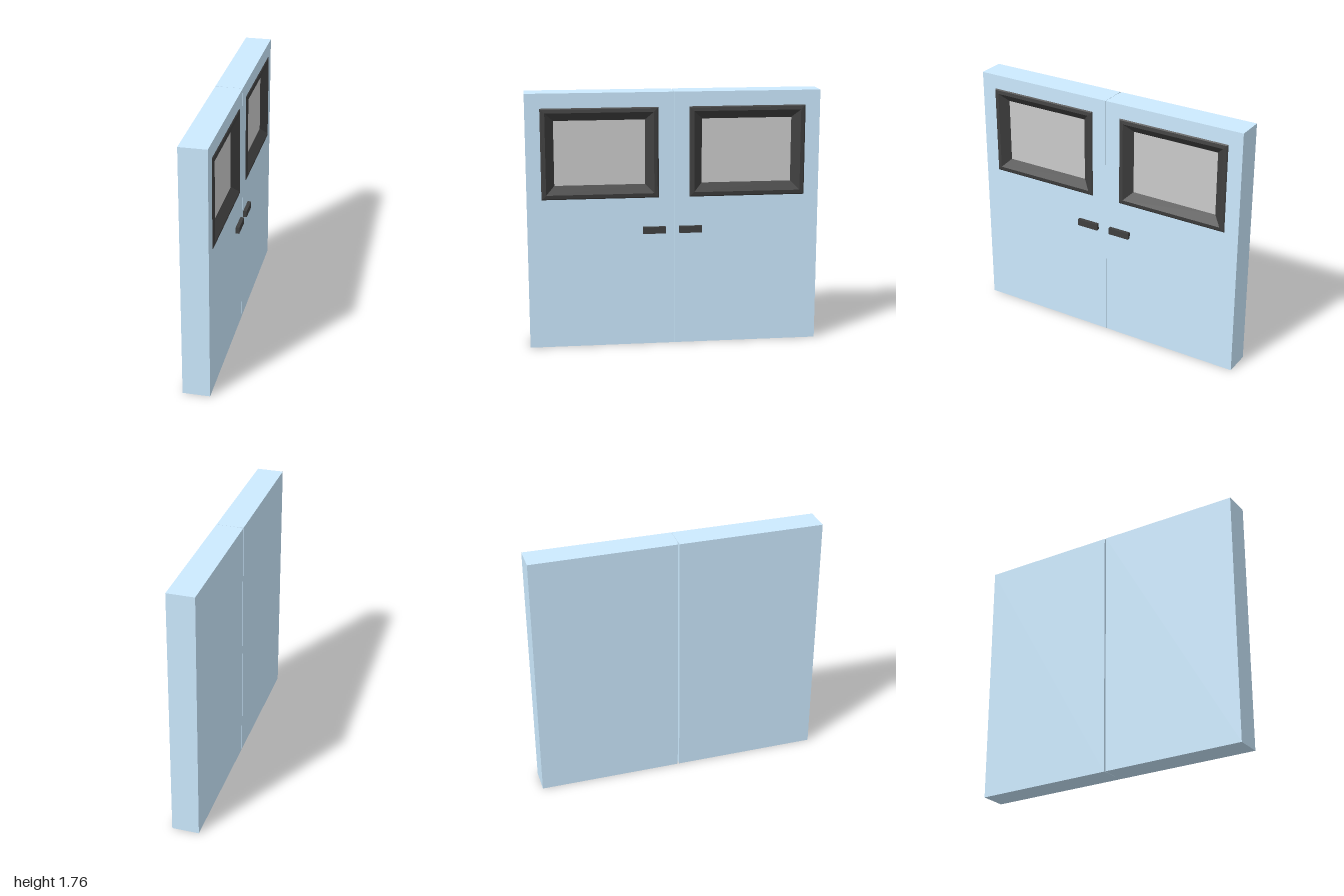
import * as THREE from 'three';

const BACK = -0.105, CORE = 0.035, FACE = 0.08, HEIGHT = 1.76;
const WINDOW = { y: 1.35, w: 0.795, h: 0.62 };

const blue = new THREE.MeshStandardMaterial({ color: 0xcceaff });
const dark = new THREE.MeshStandardMaterial({ color: 0x404040 });
const grey = new THREE.MeshStandardMaterial({ color: 0xcccccc });

function add(parent, name, geometry, material, x = 0, y = 0, z = 0) {
  const mesh = new THREE.Mesh(geometry, material);
  mesh.name = name;
  mesh.position.set(x, y, z);
  parent.add(mesh);
  return mesh;
}

const polygon = pts => new THREE.Shape(pts.map(p => new THREE.Vector2(...p)));
const rect = (x0, y0, x1, y1) => polygon([[x0, y0], [x1, y0], [x1, y1], [x0, y1]]);

// Mitred frame: nested rectangles given as [inset, depth] steps
function frameGeometry(w, h, steps) {
  const corners = ([inset, depth]) => [[-1, -1], [1, -1], [1, 1], [-1, 1]]
    .map(([sx, sy]) => [sx * (w / 2 - inset), sy * (h / 2 - inset), depth]);
  const pos = [];
  for (let s = 0; s < steps.length - 1; s++) {
    const outer = corners(steps[s]), inner = corners(steps[s + 1]);
    for (let i = 0; i < 4; i++) {
      const j = (i + 1) % 4;
      pos.push(...outer[i], ...outer[j], ...inner[j], ...outer[i], ...inner[j], ...inner[i]);
    }
  }
  const g = new THREE.BufferGeometry();
  g.setAttribute('position', new THREE.Float32BufferAttribute(pos, 3));
  g.computeVertexNormals();
  return g;
}

// Leaf is built facing local +z; side is -1 or 1 along local x
function doorLeaf(side) {
  const leaf = new THREE.Group();
  leaf.name = side < 0 ? 'frontDoorLeaf' : 'rearDoorLeaf';
  const seam = side * 0.001, edge = side, wx = side * 0.5025;

  // Solid core, with the meeting edge of one leaf eased at the back
  const plan = polygon([
    [edge, -CORE], [seam, -CORE], [seam, 0.055],
    [side > 0 ? 0.01 : seam, -BACK], [edge, -BACK],
  ]);
  const core = new THREE.ExtrudeGeometry(plan, { depth: HEIGHT, bevelEnabled: false });
  core.rotateX(-Math.PI / 2);
  add(leaf, 'doorCore', core, blue);

  // Outer skin with the window opening
  const skin = rect(seam, 0, edge, HEIGHT);
  const hw = WINDOW.w / 2 - 0.015, hh = WINDOW.h / 2 - 0.015;
  skin.holes.push(rect(wx - hw, WINDOW.y - hh, wx + hw, WINDOW.y + hh));
  add(leaf, 'doorSkin', new THREE.ExtrudeGeometry(skin, { depth: FACE - CORE, bevelEnabled: false }),
    blue, 0, 0, CORE);

  // Window frame, raised at the rim and sloping in to the pane
  add(leaf, 'windowFrame', frameGeometry(WINDOW.w, WINDOW.h,
    [[0, FACE], [0.008, 0.086], [0.032, 0.09], [0.09, 0.04]]), dark, wx, WINDOW.y, 0);
  add(leaf, 'windowPane', new THREE.BoxGeometry(WINDOW.w - 0.178, WINDOW.h - 0.178, 0.006),
    grey, wx, WINDOW.y, 0.038);

  // Handle
  add(leaf, 'handle', new THREE.BoxGeometry(0.156, 0.046, 0.025), dark,
    side * 0.125 - 0.0125, 0.815, FACE + 0.0125);
  return leaf;
}

export function createModel() {
  const model = new THREE.Group();
  model.name = 'doubleDoor';
  for (const side of [-1, 1]) model.add(doorLeaf(side));
  // The windowed face looks along +x
  model.rotation.y = Math.PI / 2;
  const root = new THREE.Group();
  root.add(model);
  return root;
}
